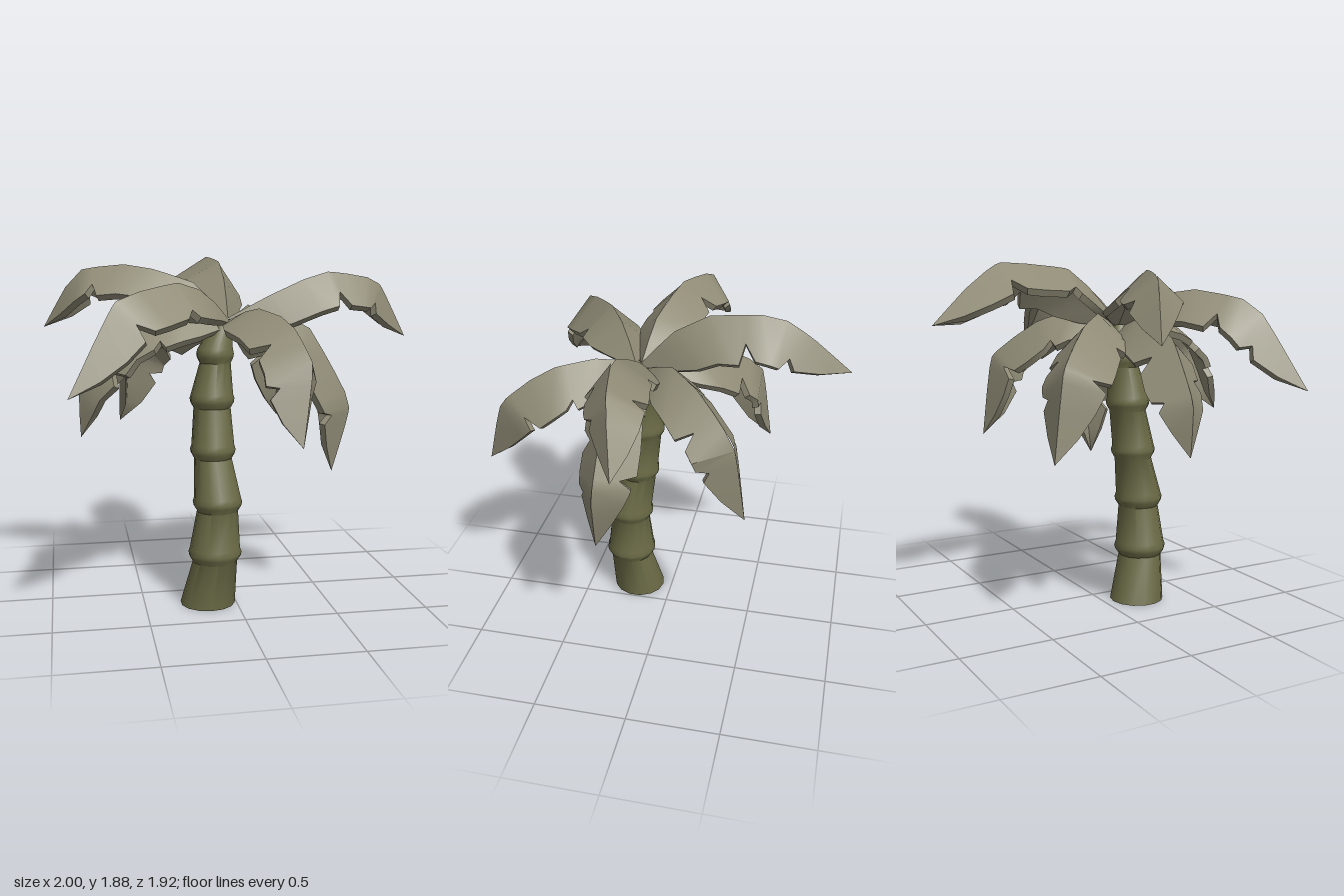
import * as THREE from 'three';
import { toCreasedNormals } from 'three/addons/utils/BufferGeometryUtils.js';

const V = (a) => new THREE.Vector3(...a);

// Collects quads into one geometry with smooth faces and sharp creases
function quadBuilder() {
  const pos = [];
  return {
    quad(a, b, c, d, flip = false) {
      const order = flip ? [a, c, b, a, d, c] : [a, b, c, a, c, d];
      for (const p of order) pos.push(p.x, p.y, p.z);
    },
    build(angle) {
      const g = new THREE.BufferGeometry();
      g.setAttribute('position', new THREE.Float32BufferAttribute(pos, 3));
      return toCreasedNormals(g, angle);
    },
  };
}

// Notched half outlines: [position along the frond, fraction of half width]
const EDGE_A = [[0, 0.15], [0.1, 0.66], [0.2, 0.98], [0.36, 1.03], [0.47, 1.05], [0.5, 0.6], [0.56, 0.98],
  [0.66, 1], [0.73, 0.94], [0.75, 0.64], [0.8, 0.8], [0.9, 0.48], [1, 0]];
const EDGE_B = [[0, 0.15], [0.1, 0.66], [0.2, 0.98], [0.31, 1.04], [0.33, 0.8], [0.38, 1], [0.5, 1.04],
  [0.61, 1.04], [0.64, 0.62], [0.69, 0.95], [0.8, 0.77], [0.9, 0.45], [1, 0]];

// Roof-shaped solid frond along a bent spine, rolled about that spine
function frondGeometry(points, halfWidth, roll) {
  const curve = new THREE.CatmullRomCurve3(points.map(V), false, 'catmullrom', 0.2);
  const chord = V(points[points.length - 1]).sub(V(points[0])).setY(0).normalize();
  const level = chord.cross(new THREE.Vector3(0, 1, 0));
  const at = (t) => curve.getPointAt(THREE.MathUtils.clamp(t, 0, 1));
  const builder = quadBuilder();

  for (const side of [1, -1]) {
    const sections = (side > 0 ? EDGE_A : EDGE_B).map(([t, f]) => {
      const w = f * halfWidth;
      const thick = Math.min(1, w / 0.06);
      const tangent = at(t + 0.13).sub(at(t - 0.13)).normalize();
      const across = level.clone().applyAxisAngle(tangent, roll);
      const up = across.clone().cross(tangent).normalize();
      const ridge = at(t);
      const edge = ridge.clone().addScaledVector(across, side * w).addScaledVector(up, -w * 0.93);
      const under = ridge.clone().addScaledVector(up, -0.05 * thick);
      const lip = edge.clone().addScaledVector(up, -0.03 * thick).addScaledVector(across, -side * 0.022 * thick);
      return { ridge, edge, under, lip };
    });
    for (let i = 0; i + 1 < sections.length; i++) {
      const a = sections[i], b = sections[i + 1], flip = side < 0;
      builder.quad(a.ridge, a.edge, b.edge, b.ridge, flip);
      builder.quad(a.under, b.under, b.lip, a.lip, flip);
      builder.quad(a.edge, a.lip, b.lip, b.edge, flip);
    }
  }
  return builder.build(0.6);
}

// Leaning open-ended trunk lofted through circles [x, y, z, radius]
function trunkGeometry(rings, sides = 14) {
  const loops = rings.map(([x, y, z, r]) => Array.from({ length: sides }, (_, i) => {
    const a = (i / sides) * Math.PI * 2;
    return new THREE.Vector3(x + Math.sin(a) * r, y, z + Math.cos(a) * r);
  }));
  const builder = quadBuilder();
  for (let k = 0; k + 1 < loops.length; k++) {
    for (let i = 0; i < sides; i++) {
      const j = (i + 1) % sides;
      builder.quad(loops[k][i], loops[k][j], loops[k + 1][j], loops[k + 1][i]);
    }
  }
  return builder.build(0.7);
}

export function createModel() {
  const model = new THREE.Group();
  model.name = 'palmTree';
  const bark = new THREE.MeshStandardMaterial({ color: 0x6a6a46, side: THREE.DoubleSide });
  bark.name = 'bark';
  const leaf = new THREE.MeshStandardMaterial({ color: 0x8f8b76 });
  leaf.name = 'leaf';

  // Trunk: each joint has a narrow neck below a flared collar
  const joints = [
    [-0.12, 0.3, 0.24, 0.145], [-0.105, 0.58, 0.237, 0.134], [-0.122, 0.86, 0.19, 0.123],
    [-0.12, 1.13, 0.155, 0.121], [-0.1, 1.37, 0.14, 0.101],
  ];
  const rings = [[-0.155, 0, 0.2, 0.15]];
  for (const [x, y, z, r] of joints) {
    rings.push([x, y - 0.05, z, r * 0.83], [x, y - 0.02, z, r * 0.97], [x, y, z, r], [x, y + 0.025, z, r * 0.94]);
  }
  rings.push([-0.065, 1.5, 0.137, 0.06], [-0.055, 1.55, 0.135, 0.04]);
  const trunk = new THREE.Mesh(trunkGeometry(rings), bark);
  trunk.name = 'trunk';
  model.add(trunk);

  // Fronds: spine points from crown to tip, half width, roll
  const fronds = {
    backFrond: [[[-0.03, 1.56, 0.14], [-0.02, 1.74, -0.02], [-0.025, 1.85, -0.17], [-0.04, 1.88, -0.56], [-0.07, 1.76, -0.75], [-0.12, 1.57, -0.96]], 0.18, 0.2],
    leftFrond: [[[-0.03, 1.56, 0.15], [0.2, 1.68, 0.16], [0.49, 1.8, 0.155], [0.81, 1.75, 0.1], [1, 1.44, 0.04]], 0.155, 0.18],
    leftLowFrond: [[[-0.03, 1.53, 0.14], [0.2, 1.6, 0.2], [0.38, 1.53, 0.225], [0.62, 1.1, 0.25], [0.52, 0.73, 0.27]], 0.16, 0],
    frontFrond: [[[-0.02, 1.55, 0.15], [0.08, 1.62, 0.32], [0.19, 1.57, 0.6], [0.25, 1.38, 0.84], [0.18, 1, 0.96]], 0.17, -0.28],
    frontRightFrond: [[[-0.03, 1.55, 0.17], [-0.16, 1.69, 0.26], [-0.32, 1.75, 0.37], [-0.65, 1.67, 0.6], [-0.89, 1.23, 0.77]], 0.17, 0],
    rightFrond: [[[-0.04, 1.56, 0.14], [-0.2, 1.74, 0.1], [-0.52, 1.84, 0.02], [-0.82, 1.8, -0.1], [-1, 1.5, -0.19]], 0.155, 0],
    rightLowFrond: [[[-0.04, 1.53, 0.15], [-0.3, 1.6, 0.15], [-0.6, 1.5, 0.13], [-0.82, 1.2, 0.11], [-0.82, 0.93, 0.1]], 0.16, 0],
    backRightFrond: [[[-0.04, 1.53, 0.12], [-0.17, 1.62, -0.05], [-0.34, 1.55, -0.24], [-0.54, 1.36, -0.45], [-0.575, 0.91, -0.52]], 0.18, 0],
    backLeftFrond: [[[-0.02, 1.53, 0.12], [0.11, 1.62, -0.05], [0.25, 1.56, -0.22], [0.41, 1.36, -0.43], [0.39, 0.92, -0.5]], 0.165, 0],
  };
  for (const [name, [points, halfWidth, roll]] of Object.entries(fronds)) {
    const frond = new THREE.Mesh(frondGeometry(points, halfWidth, roll), leaf);
    frond.name = name;
    model.add(frond);
  }
  return model;
}
